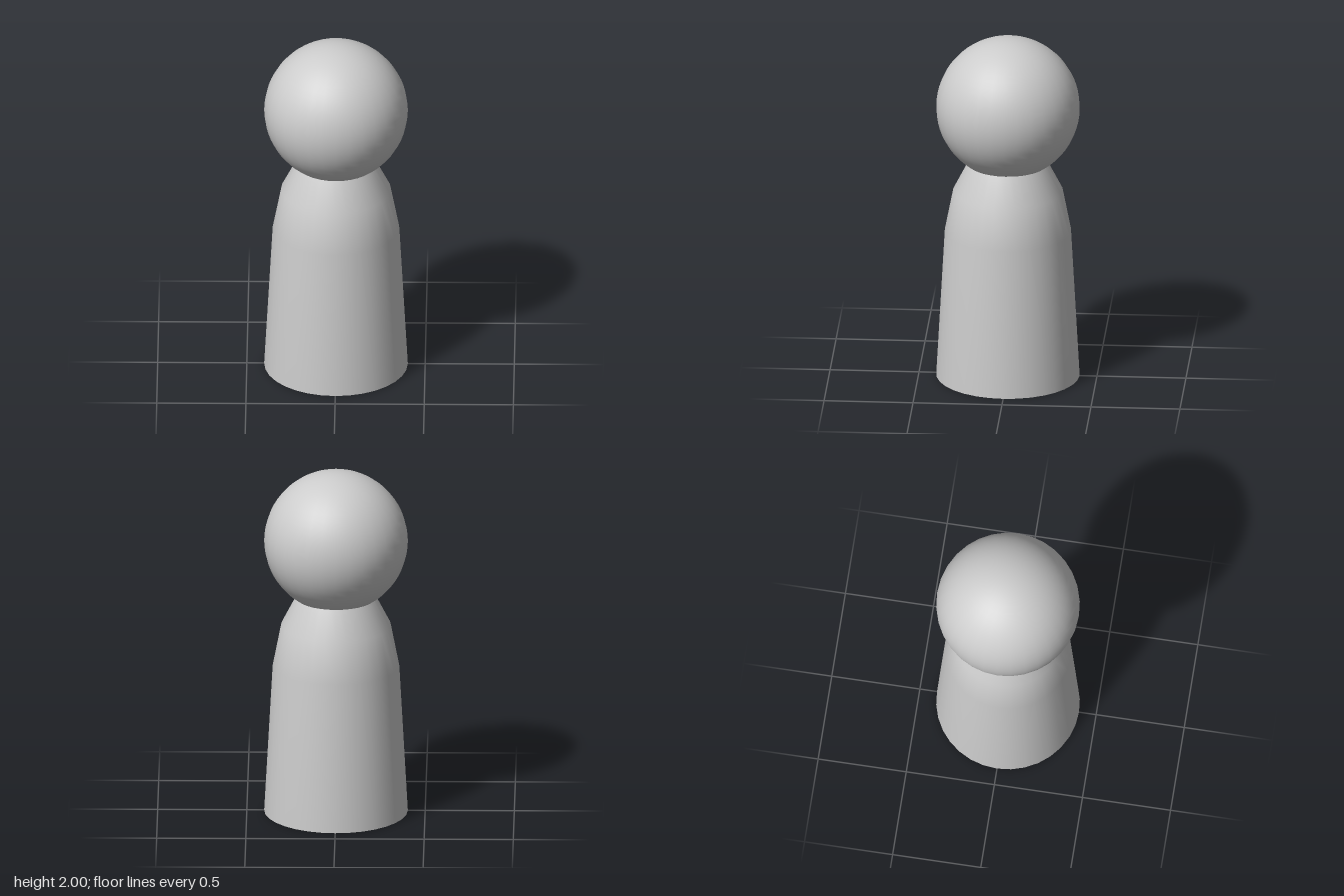
import * as THREE from 'three';

const SIDES = 32;
const RADIUS = 0.403;

export function createModel() {
  const group = new THREE.Group();
  group.name = 'pegFigure';
  const material = new THREE.MeshStandardMaterial({ color: 0xcccccc });

  const add = (name, geometry) => {
    const mesh = new THREE.Mesh(geometry, material);
    mesh.name = name;
    group.add(mesh);
    return mesh;
  };

  // Tapered body with rounded shoulders, its top sunk into the head
  const profile = [
    [RADIUS, 0],
    [0.355, 0.86],
    [0.308, 1.1],
    [0.205, 1.3],
  ].map(([r, y]) => new THREE.Vector2(r, y));
  add('body', new THREE.LatheGeometry(profile, SIDES));

  // Flat underside
  add('base', new THREE.CircleGeometry(RADIUS, SIDES).rotateX(Math.PI / 2));

  // Round head
  add('head', new THREE.SphereGeometry(RADIUS, SIDES, SIDES)).position.y = 2 - RADIUS;

  return group;
}
